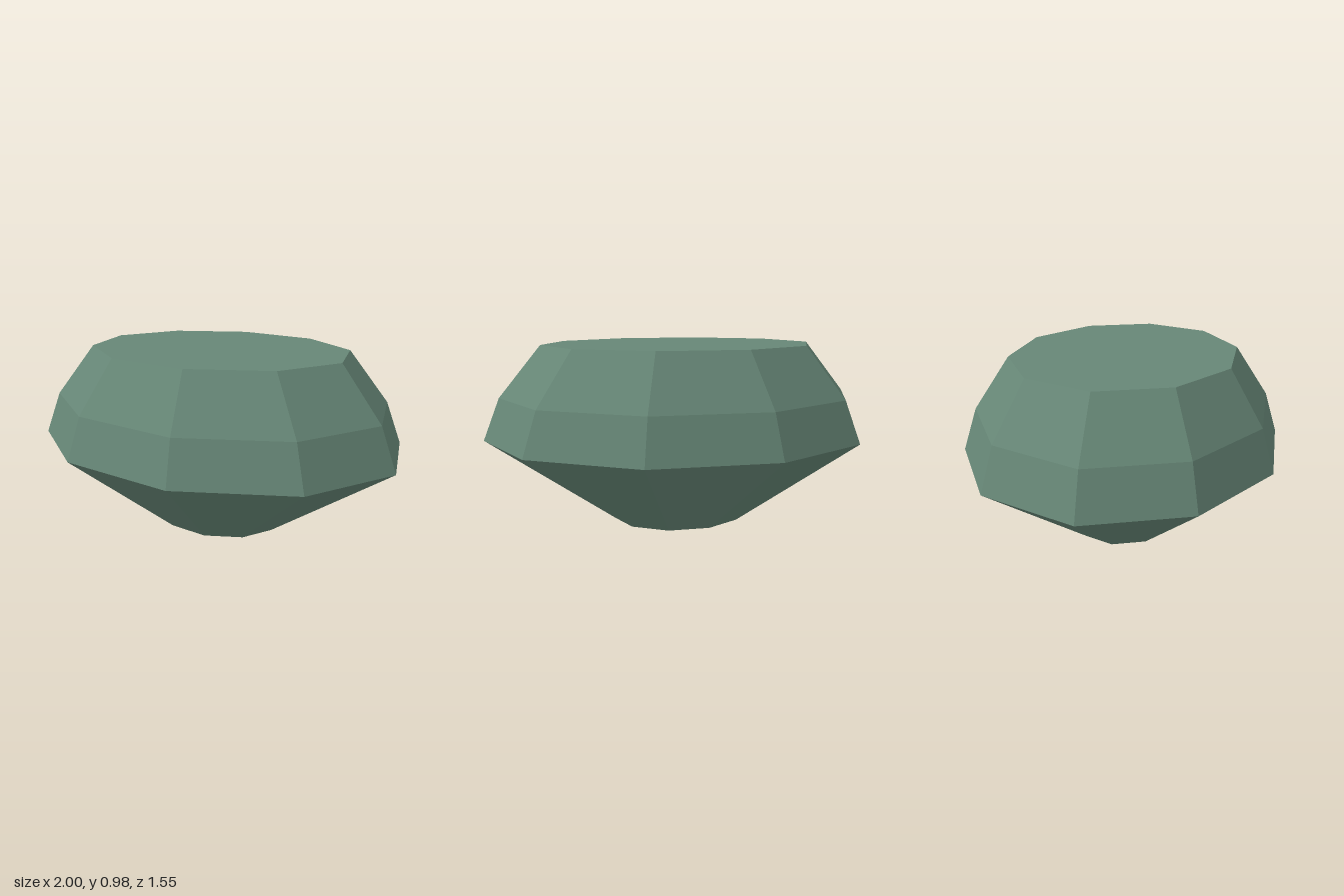
import * as THREE from 'three';

const SIDES = 10;
const DEPTH = 0.816; // oval plan: z is narrower than x

// One faceted band of the gem, from [radius, height] pairs listed bottom to top
function facets(name, profile, material) {
  const points = profile.map(([r, y]) => new THREE.Vector2(r, y));
  const geometry = new THREE.LatheGeometry(points, SIDES, Math.PI / 2).toNonIndexed();
  geometry.scale(1, 1, DEPTH);
  geometry.computeVertexNormals();
  const mesh = new THREE.Mesh(geometry, material);
  mesh.name = name;
  return mesh;
}

export function createModel() {
  const gem = new THREE.Group();
  gem.name = 'gemstone';

  const green = new THREE.MeshStandardMaterial({ color: 0x668676, flatShading: true });
  green.name = 'grey green';

  // Rings shared by neighbouring bands
  const tip = [0, 0];
  const culetRing = [0.342, 0.052];
  const girdle = [1, 0.5];
  const shoulder = [0.917, 0.714];
  const tableRing = [0.705, 0.975];
  const tableCentre = [0, 0.975];

  gem.add(
    facets('culet', [tip, culetRing], green),
    facets('pavilion', [culetRing, girdle], green),
    facets('lowerCrown', [girdle, shoulder], green),
    facets('upperCrown', [shoulder, tableRing], green),
    facets('table', [tableRing, tableCentre], green),
  );
  return gem;
}
